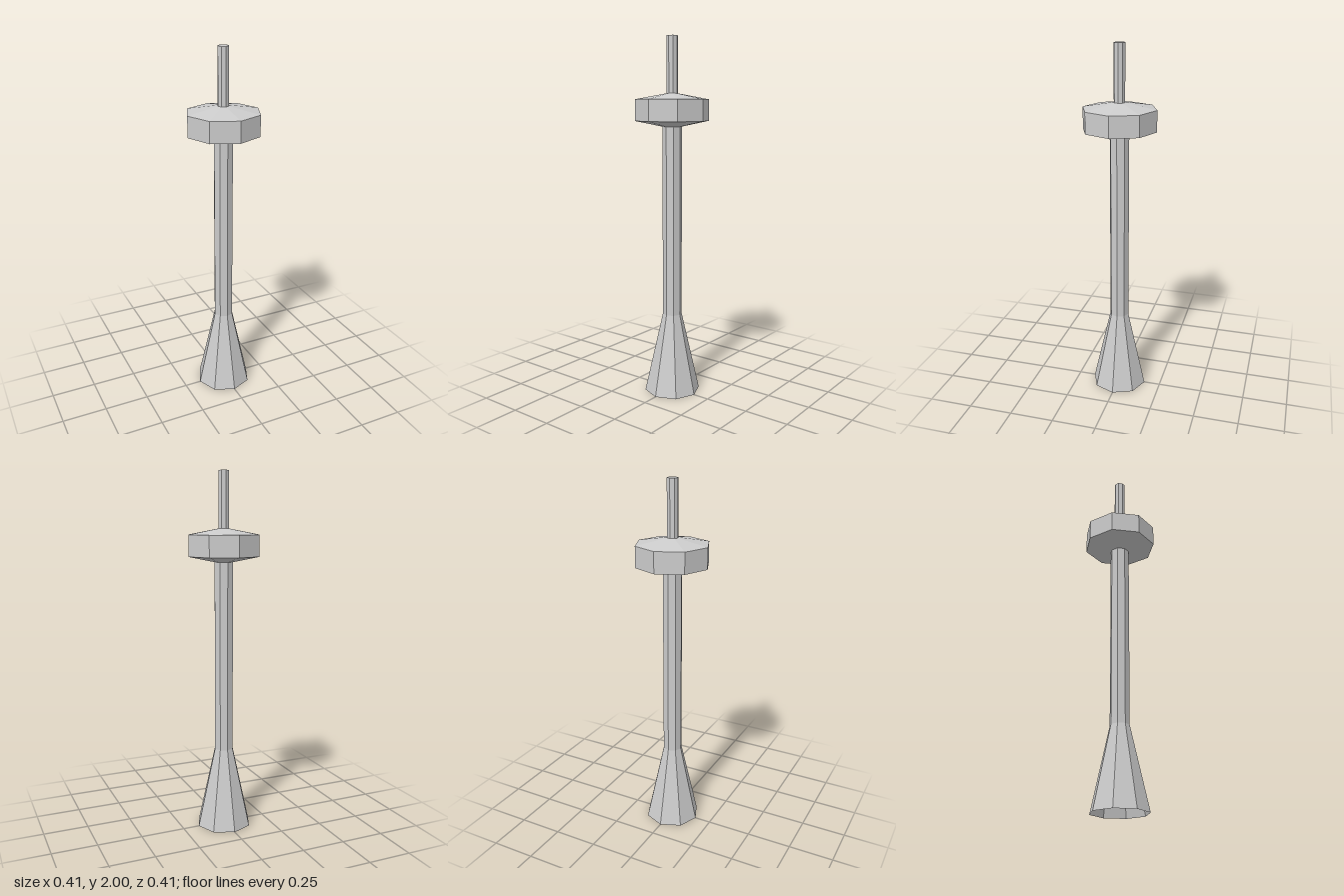
import * as THREE from 'three';

const SIDES = 8;

export function createModel() {
  const tower = new THREE.Group();
  tower.name = 'tower';
  const material = new THREE.MeshStandardMaterial({
    color: 0xcccccc, flatShading: true, side: THREE.DoubleSide,
  });

  // Eight-sided part turned from a [radius, height] profile, bottom to top
  const addTurned = (name, profile) => {
    const points = profile.map(([r, y]) => new THREE.Vector2(r, y));
    const mesh = new THREE.Mesh(new THREE.LatheGeometry(points, SIDES), material);
    mesh.name = name;
    tower.add(mesh);
  };

  // Flared foot, hollow and open underneath
  addTurned('flaredBase', [[0.157, 0], [0.054, 0.455]]);

  // Straight column
  addTurned('shaft', [[0.054, 0.455], [0.054, 1.516]]);

  // Observation pod with sloped floor and roof
  addTurned('pod', [[0.054, 1.516], [0.204, 1.547], [0.204, 1.663], [0.031, 1.695]]);

  // Antenna mast with a flat cap
  addTurned('mast', [[0.031, 1.695], [0.031, 2], [0, 2]]);

  return tower;
}
